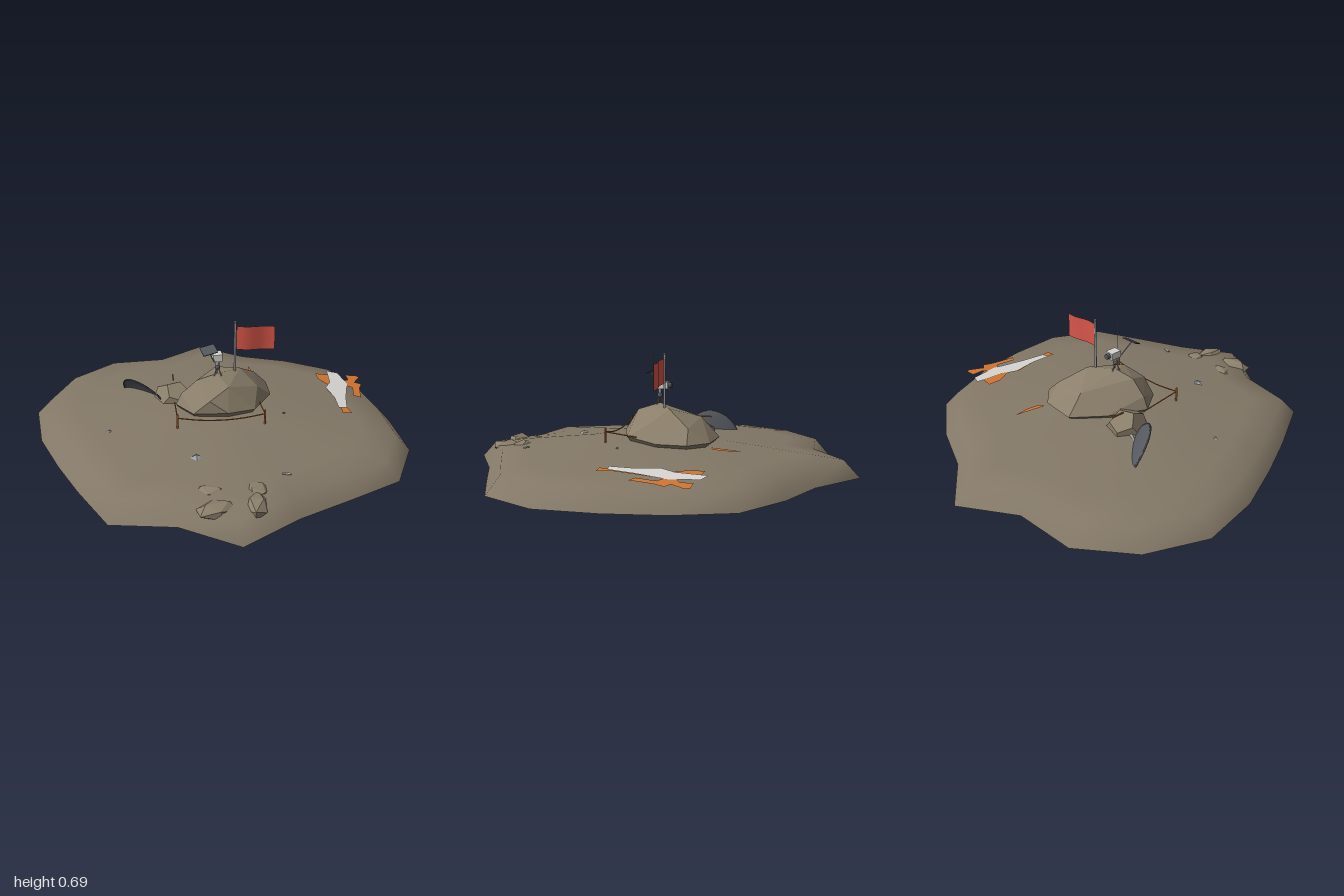
import * as THREE from 'three';
import { ConvexGeometry } from 'three/addons/geometries/ConvexGeometry.js';

export function createModel() {
  const root = new THREE.Group();
  const mat = (name, color, extra = {}) =>
    Object.assign(new THREE.MeshStandardMaterial({ color, ...extra }), { name });
  const both = { side: THREE.DoubleSide };
  const M = {
    ground: mat('ground', 0x837867, both),
    rock: mat('rock', 0x8b7f6b, { flatShading: true }),
    orange: mat('orange paint', 0xcf7531, both),
    pale: mat('pale panel', 0xd6d5d1, both),
    white: mat('white dish', 0xe4e3df, both),
    dark: mat('dark metal', 0x565a60, both),
    steel: mat('steel', 0x9a9c9e),
    rope: mat('rope', 0xb0622a),
    red: mat('flag red', 0xd9574a, both),
  };
  const V = (x, y, z) => new THREE.Vector3(x, y, z);
  const add = (name, geo, m, p = [0, 0, 0], parent = root) => {
    const mesh = new THREE.Mesh(geo, m);
    mesh.name = name;
    mesh.position.set(...p);
    parent.add(mesh);
    return mesh;
  };
  // Straight rod between two points
  const rod = (name, a, b, r, m) => {
    const A = V(...a), B = V(...b);
    const mesh = add(name, new THREE.CylinderGeometry(r, r, A.distanceTo(B), 8), m);
    mesh.position.copy(A).lerp(B, 0.5);
    mesh.quaternion.setFromUnitVectors(V(0, 1, 0), B.sub(A).normalize());
  };

  // Ground: one outline scaled into rings of changing height
  const outline = [
    [0, -1], [0.26, -0.81], [0.52, -0.71], [0.77, -0.55], [0.88, -0.28], [0.93, 0], [0.94, 0.3],
    [0.8, 0.58], [0.54, 0.705], [0.27, 0.83], [0, 1], [-0.26, 0.83], [-0.56, 0.78], [-0.7, 0.5],
    [-0.8, 0.27], [-0.9, 0], [-0.94, -0.31], [-0.81, -0.6], [-0.57, -0.8], [-0.26, -0.82],
  ];
  const shell = (rings) => {
    const n = outline.length, pos = [], idx = [];
    for (const [s, y] of rings) for (const [x, z] of outline) pos.push(x * s, y, z * s);
    for (let r = 0; r < rings.length - 1; r++) {
      for (let i = 0; i < n; i++) {
        const a = r * n + i, b = r * n + (i + 1) % n;
        idx.push(a, b, a + n, b, b + n, a + n);
      }
    }
    const g = new THREE.BufferGeometry();
    g.setAttribute('position', new THREE.Float32BufferAttribute(pos, 3));
    // Rings run inward and the outline runs clockwise from above, so flip to face up
    g.setIndex(idx.map((_, i) => idx[i - (i % 3) + [0, 1, 2][i % 3]]).map((v) => v));
    g.computeVertexNormals();
    return g;
  };
  add('ground', shell([[1, 0.1], [0.92, 0.185], [0.75, 0.205], [0.55, 0.228], [0.35, 0.25],
    [0.2, 0.258], [0.001, 0.26]]), M.ground);
  // Nested lips on the hollow underside
  for (const [s, y] of [[0.67, 0.15], [0.54, 0.16], [0.42, 0.17]]) {
    add('undersideLip', shell([[s, y], [s - 0.03, y + 0.025], [s - 0.09, y + 0.06]]), M.ground);
  }

  // Main boulder
  add('boulder', new ConvexGeometry([
    [0.01, 0.27, -0.31], [0.19, 0.27, -0.3], [0.29, 0.27, -0.21], [0.29, 0.27, -0.06],
    [0.18, 0.28, 0.12], [0.04, 0.29, 0.17], [-0.13, 0.28, 0.14], [-0.21, 0.28, 0.02],
    [-0.12, 0.28, -0.17], [0, 0.43, 0], [0.13, 0.42, -0.08], [-0.1, 0.41, 0.02], [0.05, 0.4, 0.1],
    [0.22, 0.34, -0.2], [0.21, 0.35, 0], [0.02, 0.37, -0.22], [-0.18, 0.34, 0.02],
    [-0.05, 0.35, 0.15], [0.02, 0.105, -0.06], [0.12, 0.125, -0.15], [-0.08, 0.13, 0],
    [0.1, 0.12, 0.02],
  ].map((p) => V(...p))), M.rock);

  // Smaller rocks: position, half sizes, turn
  const rocks = [
    ['sideBoulder', [-0.21, 0.235, -0.125], [0.105, 0.1, 0.12], 0.4],
    ['flatRock', [-0.105, 0.182, 0.7], [0.08, 0.035, 0.05], -0.3],
    ['flatRock', [0.1, 0.182, 0.71], [0.06, 0.038, 0.065], 0.6],
    ['flatRock', [-0.09, 0.175, 0.825], [0.1, 0.04, 0.06], 0.2],
    ['flatRock', [0.085, 0.175, 0.81], [0.055, 0.04, 0.1], -0.2],
    ['buriedRock', [0.2, 0.19, 0.26], [0.07, 0.04, 0.06], 0.5],
    ['buriedRock', [0.15, 0.18, 0.45], [0.06, 0.035, 0.06], 1.1],
    ['buriedRock', [0.05, 0.18, 0.5], [0.06, 0.035, 0.05], 0.1],
  ];
  for (const [name, p, s, turn] of rocks) {
    const g = name === 'sideBoulder' ? new THREE.DodecahedronGeometry(1) : new THREE.IcosahedronGeometry(1);
    const m = add(name, g, M.rock, p);
    m.scale.set(...s);
    m.rotation.y = turn;
  }
  for (const [x, y, z, s, m] of [[-0.145, 0.225, 0.465, 0.032, M.steel], [-0.55, 0.215, 0.15, 0.014, M.steel],
    [0.33, 0.25, 0.12, 0.01, M.dark]]) {
    add('debris', new THREE.OctahedronGeometry(s), m, [x, y, z]).scale.y = 0.5;
  }
  add('debrisStrip', new THREE.BoxGeometry(0.04, 0.006, 0.01), M.pale, [0.25, 0.212, 0.63]).rotation.y = -0.25;

  // Bowls: rounded lathes, apex along the given axis
  const bowl = (name, r, depth, m, p, axis) => {
    const group = new THREE.Group();
    group.name = name;
    const pts = [];
    for (let i = 0; i <= 10; i++) {
      const a = (i / 10) * Math.PI / 2;
      pts.push(new THREE.Vector2(Math.max(r * Math.sin(a), 0.0001), depth * Math.cos(a)));
    }
    add(name + 'Shell', new THREE.LatheGeometry(pts, 32), m, [0, 0, 0], group);
    add(name + 'Rim', new THREE.TorusGeometry(r, 0.004, 6, 32), M.dark, [0, 0, 0], group).rotation.x = Math.PI / 2;
    group.position.set(...p);
    group.quaternion.setFromUnitVectors(V(0, 1, 0), V(...axis).normalize());
    root.add(group);
  };
  bowl('lowerDish', 0.18, 0.12, M.white, [0, 0.089, -0.09], [0, 0.88, 0.47]);
  bowl('sideDish', 0.155, 0.025, M.dark, [-0.35, 0.2, -0.21], [0.63, 0.5, -0.59]);
  rod('sideDishArm', [-0.21, 0.334, -0.22], [-0.21, 0.334, -0.15], 0.004, M.rope);
  rod('sideDishStrut', [-0.36, 0.23, -0.2], [-0.22, 0.27, -0.14], 0.008, M.steel);

  // Rope fence in front of the boulder
  for (const s of [-1, 1]) {
    const x = s * 0.215;
    rod('fencePost', [x, 0.23, 0.22], [x, 0.325, 0.22], 0.005, M.rope);
    rod('sideRope', [x, 0.305, 0.22], [x, 0.285, s < 0 ? 0.01 : 0.06], 0.003, M.rope);
  }
  add('frontRope', new THREE.TubeGeometry(new THREE.CatmullRomCurve3(
    [V(-0.215, 0.305, 0.22), V(-0.1, 0.287, 0.22), V(0, 0.282, 0.22), V(0.1, 0.287, 0.22), V(0.215, 0.305, 0.22)]),
  20, 0.003, 6), M.rope);

  // Flag with one gentle wave
  rod('flagPole', [0.1, 0.38, -0.05], [0.1, 0.68, -0.05], 0.006, M.steel);
  add('poleKnob', new THREE.SphereGeometry(0.008, 10, 8), M.dark, [0.1, 0.685, -0.05]);
  const cloth = new THREE.PlaneGeometry(0.195, 0.125, 12, 1);
  const cp = cloth.attributes.position;
  for (let i = 0; i < cp.count; i++) {
    const t = cp.getX(i) / 0.195 + 0.5;
    cp.setZ(i, 0.007 * Math.sin(t * 6));
    cp.setY(i, cp.getY(i) - 0.01 * t);
  }
  cloth.computeVertexNormals();
  add('flag', cloth, M.red, [0.205, 0.6, -0.05]);

  // Instrument on a tripod
  for (let i = 0; i < 3; i++) {
    const a = i * Math.PI * 2 / 3 + 0.5;
    rod('tripodLeg', [0.005, 0.475, 0], [0.005 + 0.025 * Math.cos(a), 0.415, 0.025 * Math.sin(a)], 0.003, M.steel);
  }
  add('pivot', new THREE.SphereGeometry(0.014, 12, 8), M.dark, [0.005, 0.468, 0]);
  rod('neck', [0.005, 0.46, 0], [0.005, 0.505, 0], 0.009, M.steel);
  add('instrumentBox', new THREE.BoxGeometry(0.045, 0.036, 0.06), M.pale, [0.005, 0.52, -0.015]);
  add('lens', new THREE.CylinderGeometry(0.014, 0.014, 0.02, 14), M.dark, [0.005, 0.52, -0.052]).rotation.x = Math.PI / 2;
  rod('antenna', [0.025, 0.53, 0.03], [0.025, 0.68, 0.03], 0.001, M.steel);
  rod('panelArm', [-0.012, 0.5, 0.01], [-0.045, 0.58, 0.06], 0.003, M.steel);
  add('smallPanel', new THREE.BoxGeometry(0.075, 0.005, 0.055), M.dark, [-0.045, 0.587, 0.06])
    .rotation.set(0.5, 0.3, 0);

  // Torn painted sheets lying along the slope
  const sheet = (name, pts, m, lift) => {
    const g = new THREE.ShapeGeometry(new THREE.Shape(pts.map(([x, z]) => new THREE.Vector2(x, -z))));
    g.rotateX(-Math.PI / 2);
    const p = g.attributes.position;
    for (let i = 0; i < p.count; i++) p.setY(i, 0.285 - 0.108 * p.getX(i) + lift);
    g.computeVertexNormals();
    add(name, g, m);
  };
  sheet('tornSheet', [[0.6, -0.37], [0.68, -0.36], [0.72, -0.2], [0.675, 0.02], [0.69, 0.1], [0.64, 0.1],
    [0.65, -0.02], [0.62, -0.16], [0.645, -0.22], [0.6, -0.3]], M.orange, 0.008);
  sheet('tornSheet', [[0.74, -0.28], [0.77, -0.3], [0.77, -0.36], [0.83, -0.36], [0.845, -0.34], [0.8, -0.27],
    [0.835, -0.25], [0.81, -0.2], [0.785, -0.08], [0.75, -0.1], [0.77, -0.2], [0.735, -0.22]], M.orange, 0.012);
  sheet('paleSheet', [[0.67, -0.4], [0.73, -0.38], [0.75, -0.24], [0.7, -0.07], [0.675, 0.05], [0.63, 0.06],
    [0.635, -0.06], [0.615, -0.18], [0.655, -0.25]], M.pale, 0.014);
  sheet('sliver', [[0.235, -0.47], [0.245, -0.38], [0.23, -0.32], [0.2, -0.31], [0.22, -0.4]], M.orange, -0.012);

  return root;
}
